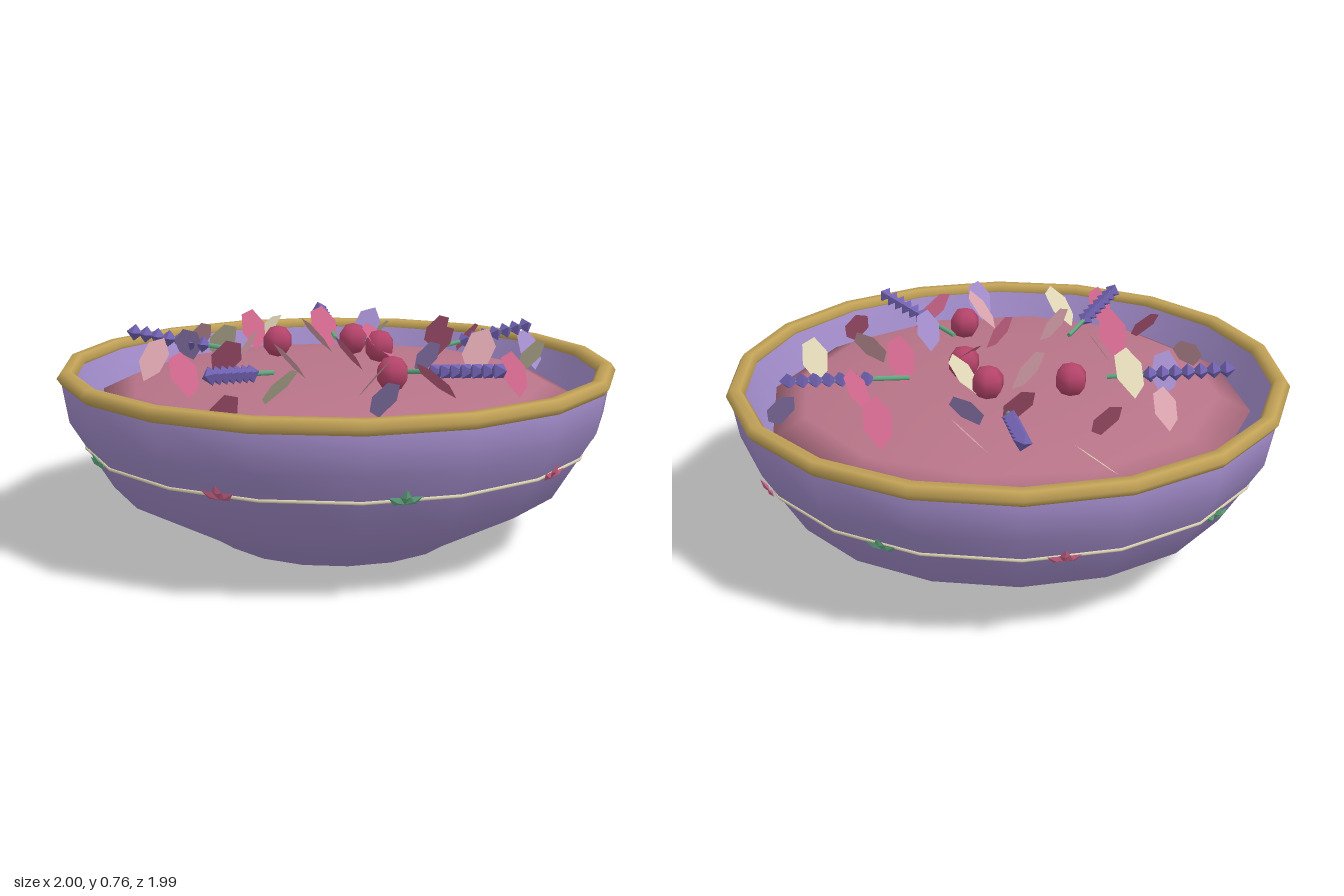
import * as THREE from 'three';

const mat = (name, color) => {
  const m = new THREE.MeshStandardMaterial({ color, side: THREE.DoubleSide });
  m.name = name;
  return m;
};

export function createModel() {
  const model = new THREE.Group();
  const M = {
    lavender: mat('lavender glaze', 0xa18bc9),
    gold: mat('gold', 0xc2a257),
    mound: mat('dusty rose', 0xb87488),
    cream: mat('cream', 0xdcd3b4),
    green: mat('leaf green', 0x65ab84),
    crimson: mat('crimson', 0xb5446a),
    violet: mat('deep violet', 0x7060b0),
    pink: mat('petal pink', 0xca6488),
    pale: mat('pale pink', 0xd8a2ac),
  };
  const add = (name, geometry, material, parent = model) => {
    const mesh = new THREE.Mesh(geometry, material);
    mesh.name = name;
    parent.add(mesh);
    return mesh;
  };

  // Bowl: outer wall, lip and inner wall in one profile, with a flat base
  const profile = [[0.445, 0], [0.505, 0.04], [0.82, 0.215], [0.965, 0.46], [0.988, 0.61],
    [0.945, 0.61], [0.925, 0.46], [0.83, 0.3]];
  add('bowlWall', new THREE.LatheGeometry(
    profile.map(([r, y]) => new THREE.Vector2(r, y)), 18), M.lavender).rotation.y = Math.PI / 2;
  const base = add('bowlBase', new THREE.CircleGeometry(0.445, 18), M.lavender);
  base.rotation.x = Math.PI / 2;

  // Gilded rim and thin painted band
  const rim = add('rim', new THREE.TorusGeometry(0.968, 0.033, 6, 18), M.gold);
  rim.rotation.x = Math.PI / 2;
  rim.scale.set(1, 1.008, 0.85);
  rim.position.y = 0.617;
  const band = add('band', new THREE.TorusGeometry(0.911, 0.006, 6, 18), M.cream);
  band.rotation.x = Math.PI / 2;
  band.position.y = 0.365;

  // Ten three-leaved motifs around the band
  const leafGeo = new THREE.OctahedronGeometry(1, 0).scale(0.018, 0.033, 0.008).translate(0, 0.03, 0);
  for (let i = 0; i < 10; i++) {
    const a = i * Math.PI / 5;
    const motif = new THREE.Group();
    motif.name = 'motif';
    motif.position.set(Math.cos(a) * 0.918, 0.358, Math.sin(a) * 0.918);
    motif.rotation.set(0.5, Math.PI / 2 - a, 0, 'YXZ');
    for (const turn of [-1.05, 0, 1.05]) {
      add('motifLeaf', leafGeo, i % 2 ? M.pink : M.green, motif).rotation.z = turn;
    }
    model.add(motif);
  }

  // Low mound filling the bowl
  const mound = add('mound',
    new THREE.SphereGeometry(0.87, 12, 3, 0, Math.PI * 2, 0, Math.PI / 2), M.mound);
  mound.scale.y = 0.125;
  mound.position.y = 0.515;
  const moundY = (x, z) =>
    0.515 + 0.12 * Math.sqrt(Math.max(0, 1 - (x * x + z * z) / 0.757));

  // Rosebuds
  const budGeo = new THREE.SphereGeometry(0.06, 6, 5).rotateY(Math.PI / 2);
  for (const [x, z] of [[0.22, 0.38], [0.15, -0.07], [0.04, -0.24], [-0.24, -0.17]]) {
    add('rosebud', budGeo, M.crimson).position.set(x, moundY(x, z) + 0.045, z);
  }

  // Flower sprigs: stem start and tip in x, z
  const sprigs = [
    [-0.04, -0.39, -0.145, -0.78], [0.33, -0.17, 0.70, -0.40], [0.245, 0.275, 0.57, 0.545],
    [-0.19, 0.33, -0.335, 0.71], [-0.36, -0.075, -0.775, -0.10],
  ];
  const beadGeo = new THREE.OctahedronGeometry(0.032, 0);
  const up = new THREE.Vector3(0, 1, 0);
  for (const [x0, z0, x1, z1] of sprigs) {
    const sprig = new THREE.Group();
    sprig.name = 'sprig';
    const start = new THREE.Vector3(x0, 0.65, z0), tip = new THREE.Vector3(x1, 0.71, z1);
    const dir = tip.clone().sub(start);
    const q = new THREE.Quaternion().setFromUnitVectors(up, dir.clone().normalize());
    const stem = add('stem', new THREE.CylinderGeometry(0.009, 0.009, dir.length(), 5), M.green, sprig);
    stem.position.copy(start).lerp(tip, 0.5);
    stem.quaternion.copy(q);
    for (let i = 0; i < 7; i++) {
      const bead = add('blossom', beadGeo, M.violet, sprig);
      bead.position.copy(start).lerp(tip, 0.36 + i * 0.105);
      bead.quaternion.copy(q);
    }
    model.add(sprig);
  }

  // Loose petals: x, z, colour, facing in degrees, tilt from flat in degrees, size
  const petals = [
    [-0.37, -0.71, 'cream', 305, 40, 1.05], [-0.38, -0.49, 'pink', 35, 55, 1],
    [-0.57, -0.35, 'pale', 215, 52, 0.85], [-0.09, -0.45, 'pink', 35, 52, 1.1],
    [0.07, -0.50, 'lavender', 345, 50, 1.05], [0.04, -0.65, 'pale', 300, 48, 0.95],
    [0.35, -0.58, 'pink', 215, 52, 1], [0.47, -0.35, 'pink', 240, 52, 0.85],
    [0.72, -0.43, 'lavender', 40, 55, 1], [0.70, -0.05, 'cream', 215, 52, 0.95],
    [0.51, 0.03, 'pale', 345, 52, 1.1], [0.37, -0.10, 'pink', 215, 52, 1],
    [0.12, -0.23, 'cream', 250, 45, 0.95], [-0.09, -0.17, 'pale', 120, 50, 0.95],
    [-0.44, -0.11, 'cream', 215, 48, 1.05], [-0.56, -0.07, 'lavender', 190, 52, 0.95],
    [-0.64, 0.17, 'pale', 350, 50, 1], [-0.32, 0.10, 'pale', 290, 55, 0.85],
    [-0.36, 0.27, 'pink', 210, 50, 1.1], [-0.13, 0.33, 'pale', 120, 50, 0.9],
    [-0.47, 0.45, 'pink', 40, 48, 1], [0.06, 0.20, 'pink', 120, 52, 0.85],
    [0.33, 0.21, 'lavender', 215, 54, 0.9], [0.63, 0.30, 'pink', 35, 56, 0.95],
    [0.17, 0.51, 'pale', 260, 50, 1], [0.37, 0.50, 'pink', 130, 42, 1.05],
    [-0.13, 0.63, 'cream', 240, 45, 1.05], [0.21, 0.71, 'lavender', 215, 52, 0.95],
    [-0.28, 0.79, 'pink', 215, 52, 0.95], [0.15, -0.07, 'pink', 60, 40, 1],
  ];
  const outline = [[-0.015, -0.09], [0.036, -0.05], [0.055, 0.025],
    [0.02, 0.09], [-0.034, 0.07], [-0.053, -0.01]];
  const petalGeo = new THREE.ShapeGeometry(
    new THREE.Shape(outline.map(([x, y]) => new THREE.Vector2(x, y))));
  const rad = Math.PI / 180;
  for (const [x, z, color, facing, tilt, size] of petals) {
    const petal = add('petal', petalGeo, M[color]);
    petal.rotation.order = 'YXZ';
    petal.rotation.set((tilt - 90) * rad, facing * rad, 0);
    petal.scale.setScalar(size);
    petal.position.set(x, moundY(x, z) + 0.065, z);
  }
  return model;
}
